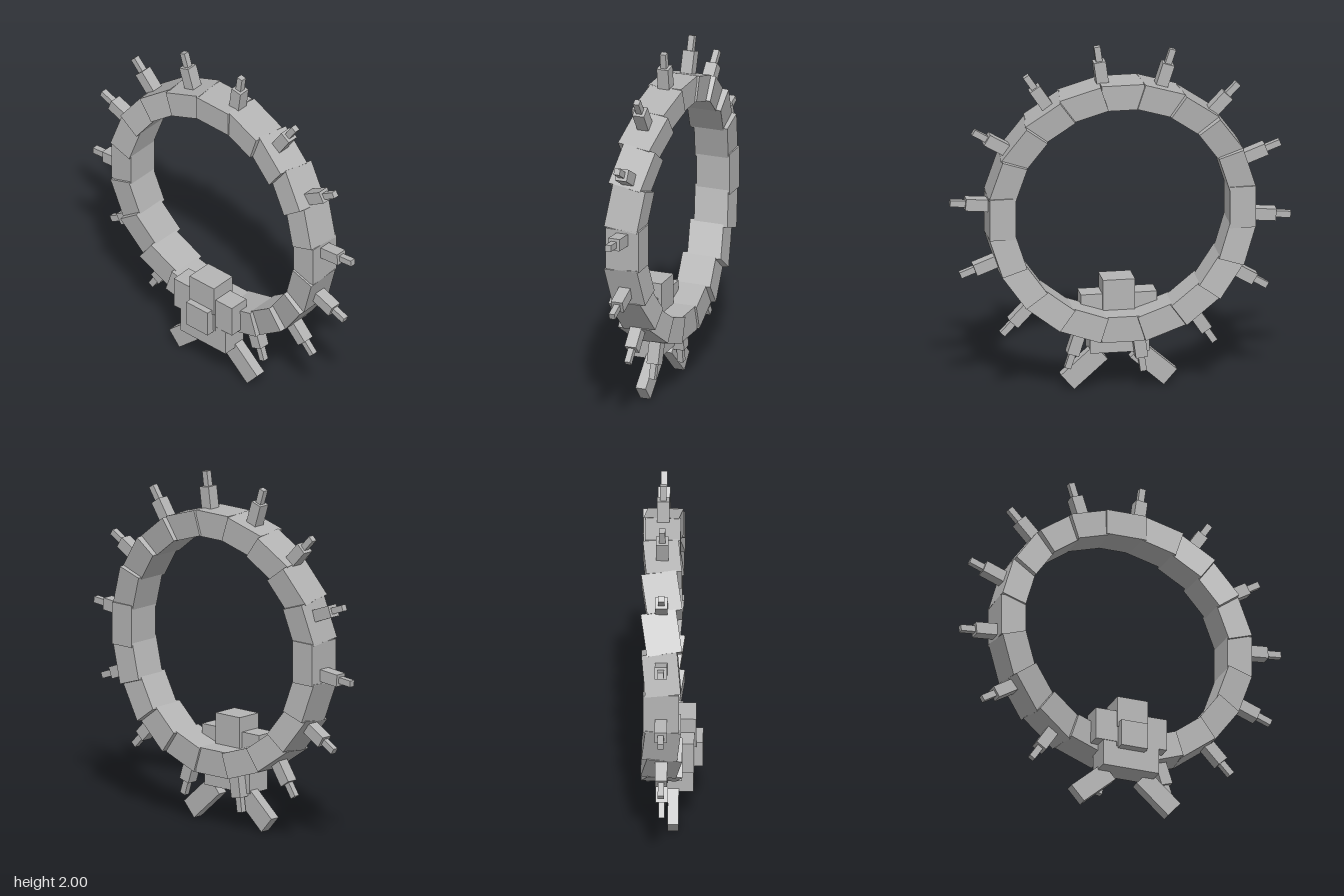
import * as THREE from 'three';

export function createModel() {
  const model = new THREE.Group();
  model.name = 'wreath';
  const grey = new THREE.MeshStandardMaterial({ name: 'plain grey', color: 0xb4b4b4, flatShading: true });

  const box = (name, size, pos, parent = model) => {
    const mesh = new THREE.Mesh(new THREE.BoxGeometry(...size), grey);
    mesh.name = name;
    mesh.position.set(...pos);
    parent.add(mesh);
    return mesh;
  };

  // Ring and candles share one centre
  const wreath = new THREE.Group();
  wreath.name = 'ring';
  wreath.position.set(0, 1.05, -0.05);
  model.add(wreath);

  // Ring of overlapping blocks, twisted slightly along the diagonals
  const sides = 20;
  for (let i = 0; i < sides; i++) {
    const angle = Math.PI / 2 + (i / sides) * Math.PI * 2;
    const arm = new THREE.Group();
    arm.name = 'ringSegment';
    arm.rotation.z = angle;
    wreath.add(arm);
    const block = box('ringBlock', [0.145, 0.238, 0.197], [0.6725, 0, 0], arm);
    block.rotation.x = -0.16 * Math.sin(2 * angle);
  }

  // Fourteen candles pointing outward
  const candles = 14;
  for (let i = 0; i < candles; i++) {
    const candle = new THREE.Group();
    candle.name = 'candle';
    candle.rotation.z = THREE.MathUtils.degToRad(82.2) + (i / candles) * Math.PI * 2;
    wreath.add(candle);
    box('candleBase', [0.15, 0.068, 0.068], [0.797, 0, 0], candle);
    box('candleTip', [0.1, 0.036, 0.034], [0.907, 0, 0], candle);
  }

  // Bow at the bottom of the ring
  box('bowTop', [0.18, 0.18, 0.155], [0, 0.535, 0.0575]);
  box('bowLeftLoop', [0.17, 0.185, 0.12], [0.125, 0.448, 0.06]);
  box('bowRightLoop', [0.17, 0.185, 0.125], [-0.13, 0.448, 0.0625]);
  box('bowBody', [0.332, 0.15, 0.15], [-0.003, 0.281, 0.046]);
  box('bowFront', [0.18, 0.16, 0.1], [0, 0.41, 0.075]);
  box('bowKnot', [0.158, 0.153, 0.08], [-0.003, 0.395, 0.132]);

  // Ribbon tails
  for (const s of [-1, 1]) {
    const tail = box('ribbonTail', [0.25, 0.113, 0.06], [s * 0.194, 0.127, 0.01]);
    tail.rotation.z = -s * 0.722;
  }
  return model;
}
